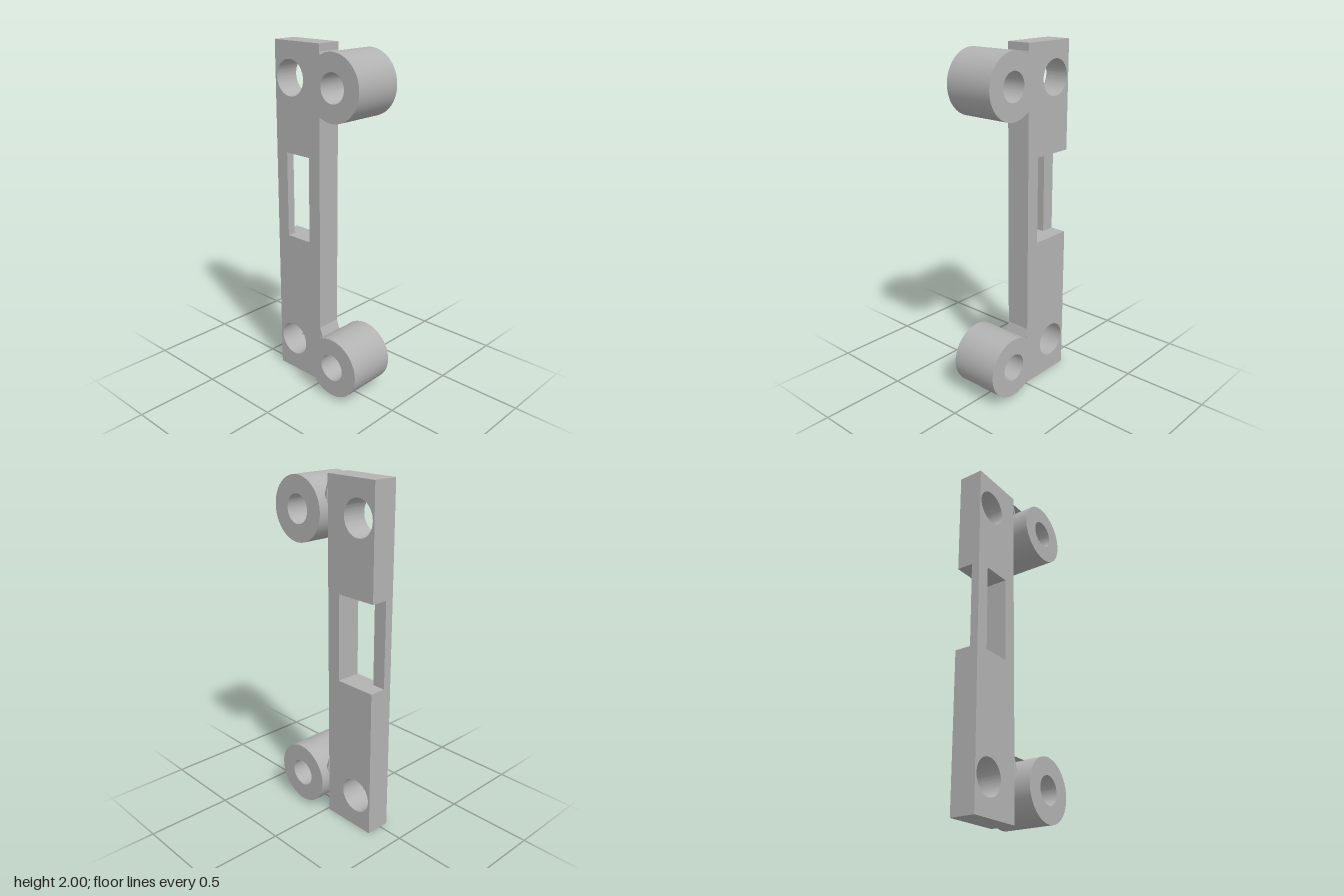
import * as THREE from 'three';
import { toCreasedNormals } from 'three/addons/utils/BufferGeometryUtils.js';

const BACK = -0.093, FRONT = 0.053, RECESS = 0.004; // plate depths
const LEFT = -0.348, RIGHT = -0.014;                // plate edges in x
const WIN = { x0: -0.268, x1: -0.096, y0: 0.88, y1: 1.38 };
const LEVELS = [0.202, 1.802];                      // heights of holes and bosses
const BOSS_X = 0.165, BOSS_R = 0.179;

const polygon = (pts) => new THREE.Shape(pts.map(([x, y]) => new THREE.Vector2(x, y)));
const circle = (x, y, r) => new THREE.Path().absarc(x, y, r, 0, Math.PI * 2, true);

export function createModel() {
  const group = new THREE.Group();
  const grey = new THREE.MeshStandardMaterial({ color: 0xb2b2b2 });
  grey.name = 'grey';

  // Extrude a shape between two depths, with smooth round walls and sharp edges
  const add = (name, shape, z0, z1) => {
    const geo = new THREE.ExtrudeGeometry(shape, { depth: z1 - z0, bevelEnabled: false, curveSegments: 48 });
    geo.translate(0, 0, z0);
    const mesh = new THREE.Mesh(toCreasedNormals(geo, 0.6), grey);
    mesh.name = name;
    group.add(mesh);
  };

  // Front layer of the plate: a closed window
  const front = polygon([[LEFT, 0], [RIGHT, 0], [RIGHT, 2], [LEFT, 2]]);
  front.holes.push(new THREE.Path(polygon([
    [WIN.x0, WIN.y0], [WIN.x0, WIN.y1], [WIN.x1, WIN.y1], [WIN.x1, WIN.y0],
  ]).getPoints()));

  // Back layer: the window opens out through the side edge
  const back = polygon([
    [LEFT, 0], [RIGHT, 0], [RIGHT, 2], [LEFT, 2],
    [LEFT, WIN.y1], [WIN.x1, WIN.y1], [WIN.x1, WIN.y0], [LEFT, WIN.y0],
  ]);

  // Screw holes through both layers
  for (const shape of [front, back]) {
    for (const y of LEVELS) shape.holes.push(circle(-0.235, y, 0.101));
  }
  add('plateFront', front, RECESS, FRONT);
  add('plateBack', back, BACK, RECESS);

  LEVELS.forEach((y, i) => {
    const side = i ? 'upper' : 'lower';

    // Hollow round boss
    const boss = new THREE.Shape().absarc(BOSS_X, y, BOSS_R, 0, Math.PI * 2, false);
    boss.holes.push(circle(BOSS_X, y, 0.08));
    add(side + 'Boss', boss, -0.148, 0.147);

    // Web joining the boss to the plate, ending just inside the boss wall
    const h = 0.157, r = BOSS_R - 0.006, a = Math.asin(h / r);
    const web = new THREE.Shape();
    web.moveTo(RIGHT, y - h);
    web.absarc(BOSS_X, y, r, Math.PI + a, Math.PI - a, true);
    web.lineTo(RIGHT, y + h);
    add(side + 'Web', web, BACK, FRONT);
  });

  return group;
}
